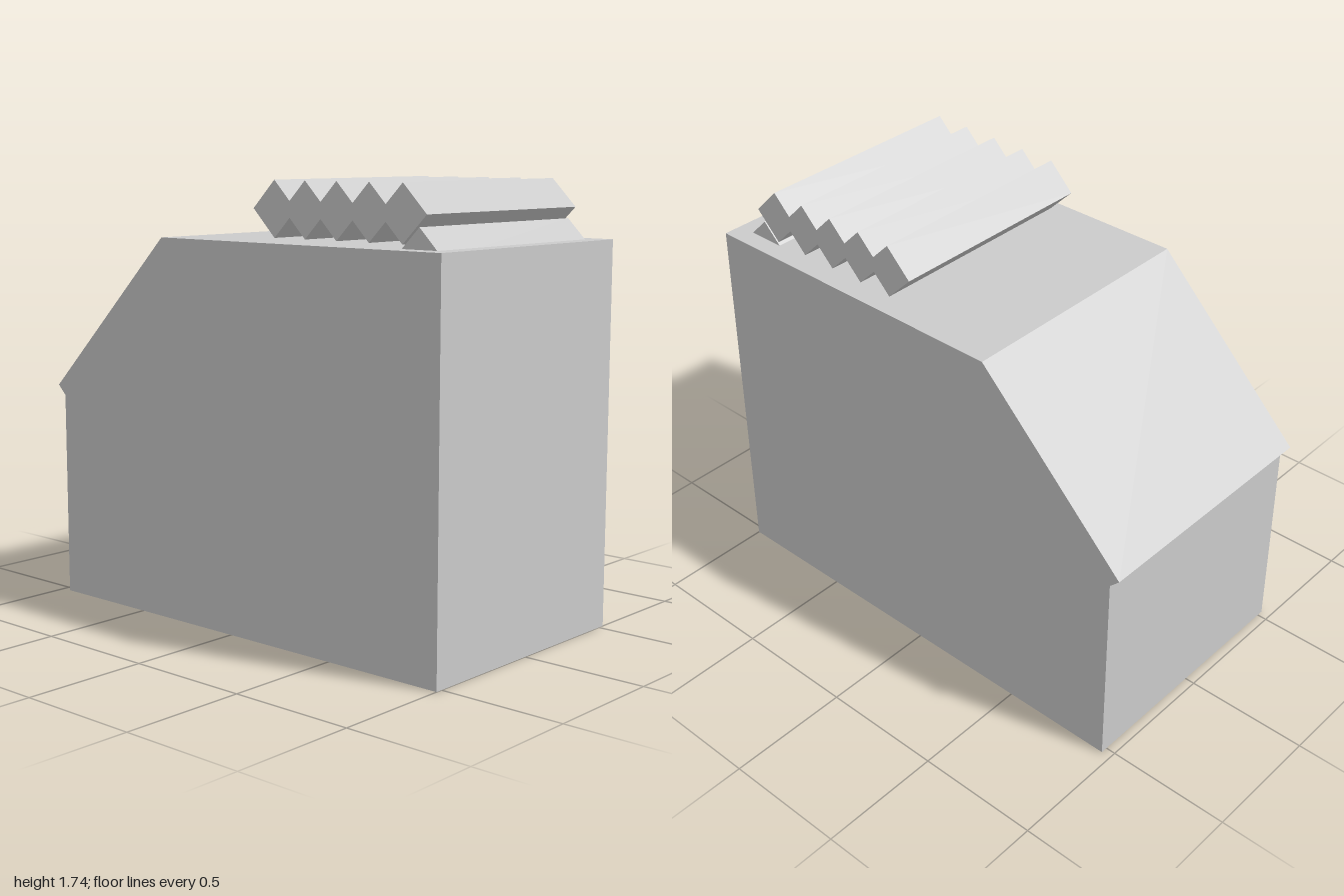
import * as THREE from 'three';

export function createModel() {
  const model = new THREE.Group();
  const material = new THREE.MeshStandardMaterial({ color: 0xcccccc, flatShading: true });

  // Housing: block with a sloped shoulder and a small overhanging lip
  const depth = 1.055;
  const profile = new THREE.Shape([
    [-0.96, 0], [1, 0], [1, 1.51], [-0.36, 1.51], [-1, 0.875], [-0.96, 0.835],
  ].map(([x, y]) => new THREE.Vector2(x, y)));
  const housingGeometry = new THREE.ExtrudeGeometry(profile, { depth, bevelEnabled: false });
  housingGeometry.translate(0, 0, -depth / 2);
  const housing = new THREE.Mesh(housingGeometry, material);
  housing.name = 'housing';
  model.add(housing);

  // Square bars turned on edge
  const barGeometry = new THREE.BoxGeometry(0.15, 0.15, 0.905);
  const addBar = (name, x, y, parent) => {
    const bar = new THREE.Mesh(barGeometry, material);
    bar.name = name;
    bar.position.set(x, y, 0);
    bar.rotation.z = Math.PI / 4;
    parent.add(bar);
  };

  // Row of five overlapping bars above the roof
  const ridges = new THREE.Group();
  ridges.name = 'ridges';
  for (let i = 0; i < 5; i++) addBar(`ridge${i + 1}`, 0.169 + i * 0.151, 1.631, ridges);
  model.add(ridges);

  // Supporting bar half sunk into the roof
  addBar('supportBar', 0.847, 1.481, model);

  return model;
}
